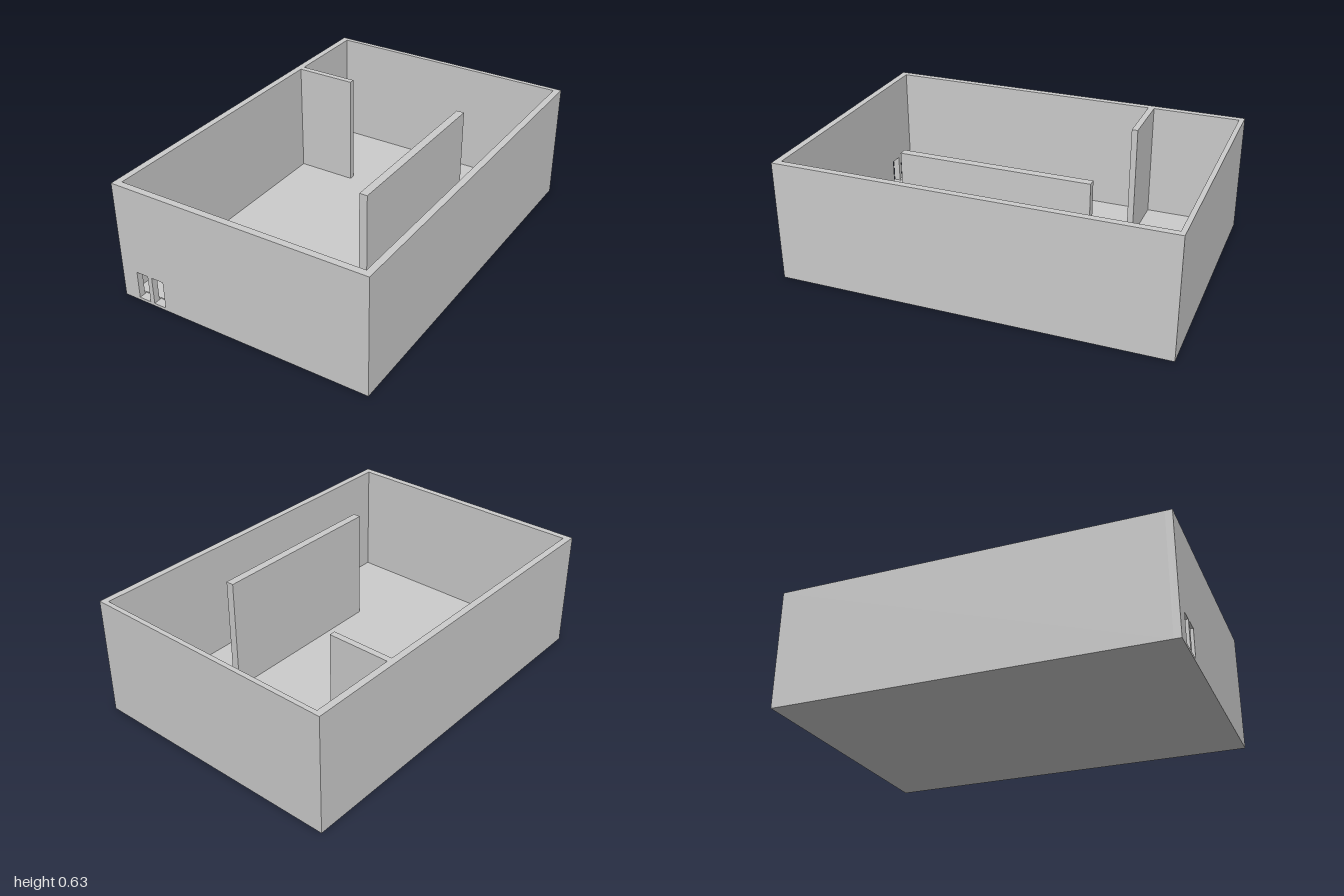
import * as THREE from 'three';

const W = 0.69, D = 1, H = 0.63;            // outer half width, half depth, height
const IX = 0.655, BACK = -0.975, FRONT = 0.965; // inner wall faces
const SILL = 0.015, FLOOR = 0.02;
const OPENINGS = [[-0.6, -0.533], [-0.508, -0.44]];

const material = new THREE.MeshStandardMaterial({ color: 0xcccccc, flatShading: true });

const shapeOf = (points) => new THREE.Shape(points.map(([x, y]) => new THREE.Vector2(x, y)));

function addMesh(group, name, geometry) {
  const mesh = new THREE.Mesh(geometry, material);
  mesh.name = name;
  group.add(mesh);
}

// Extrude a plan outline given as [x, z] from height y0 to y1
function planSlab(points, y0, y1) {
  const shape = shapeOf(points.map(([x, z]) => [x, -z]));
  return new THREE.ExtrudeGeometry(shape, { depth: y1 - y0, bevelEnabled: false })
    .rotateX(-Math.PI / 2)
    .translate(0, y0, 0);
}

const rect = (x0, x1, z0, z1) => [[x0, z0], [x1, z0], [x1, z1], [x0, z1]];

export function createModel() {
  const group = new THREE.Group();
  group.name = 'openBuilding';

  // Side and back walls with the short partition growing out of the right wall
  addMesh(group, 'sideAndBackWalls', planSlab([
    [-W, FRONT], [-W, -D], [W, -D], [W, FRONT],
    [IX, FRONT], [IX, BACK], [-IX, BACK],
    [-IX, -0.52], [-0.328, -0.52], [-0.328, -0.488], [-IX, -0.488],
    [-IX, FRONT],
  ], 0, H));

  // Front wall with two small openings
  const front = shapeOf([[-W, 0], [W, 0], [W, H], [-W, H]]);
  for (const [x0, x1] of OPENINGS) {
    front.holes.push(shapeOf([[x0, SILL], [x0, 0.163], [x1, 0.163], [x1, SILL]]));
  }
  addMesh(group, 'frontWall', new THREE.ExtrudeGeometry(front, { depth: D - FRONT, bevelEnabled: false })
    .translate(0, 0, FRONT));

  // Floor base, and its upper layer notched behind the openings
  addMesh(group, 'floorBase', planSlab(rect(-IX, IX, BACK, FRONT), 0, SILL));
  const notches = OPENINGS.flatMap(([x0, x1]) => [[x0, FRONT], [x0, 0.953], [x1, 0.953], [x1, FRONT]]);
  addMesh(group, 'floorTop', planSlab(
    [[-IX, FRONT], ...notches, [IX, FRONT], [IX, BACK], [-IX, BACK]], SILL, FLOOR));

  // Long free-standing partition
  addMesh(group, 'longPartition', planSlab(rect(0.322, 0.364, -0.488, 0.478), FLOOR, H));

  return group;
}
